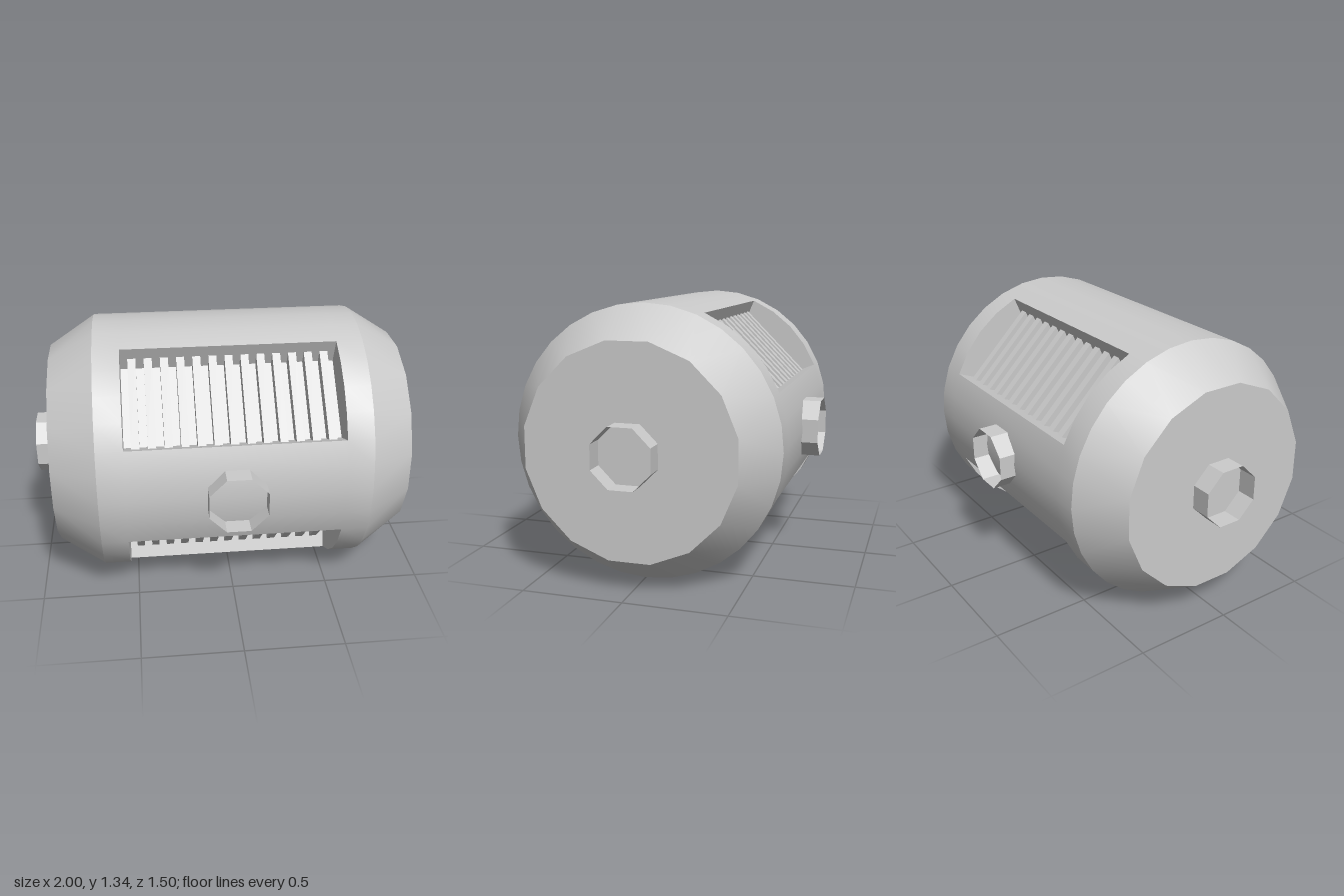
import * as THREE from 'three';
import { toCreasedNormals } from 'three/addons/utils/BufferGeometryUtils.js';

const R = 0.672, CAP_R = 0.525;        // drum and end-cap radii
const HALF = 0.67, END = 0.9;          // half length of the straight part, and with tapers
const SLOT = 0.537, SLOT_A = Math.PI / 8;  // slot half length and half angle
const FLOOR_R = 0.536, FIN_R = 0.606;  // corner radii of slot floor and fin tops
const STEP = Math.PI / 16;

const grey = new THREE.MeshStandardMaterial({ color: 0xcccccc });
const thin = new THREE.MeshStandardMaterial({ color: 0xcccccc, side: THREE.DoubleSide, flatShading: true });

// Point on a circle around the x axis, angle measured from +y toward +z
const P = (x, r, a) => [x, r * Math.cos(a), r * Math.sin(a)];

// Collects triangles and convex polygons, optionally reversed
function faceBuilder() {
  const pos = [];
  return {
    poly(pts, flip = false) {
      const p = flip ? [...pts].reverse() : pts;
      for (let i = 1; i < p.length - 1; i++) pos.push(...p[0], ...p[i], ...p[i + 1]);
    },
    geometry() {
      const g = new THREE.BufferGeometry();
      g.setAttribute('position', new THREE.Float32BufferAttribute(pos, 3));
      g.computeVertexNormals();
      return g;
    },
  };
}

// Drum: 32-sided shell with four slot openings, tapering to 16-sided caps
function drumGeometry() {
  const f = faceBuilder();
  const xs = [-HALF, -SLOT, SLOT, HALF];
  for (let i = 0; i < 32; i++) {
    const a = i * STEP, b = a + STEP;
    const open = (i % 8) >= 2 && (i % 8) < 6;
    for (let j = 0; j < 3; j++) {
      if (j === 1 && open) continue;
      f.poly([P(xs[j], R, a), P(xs[j], R, b), P(xs[j + 1], R, b), P(xs[j + 1], R, a)]);
    }
  }
  for (const s of [-1, 1]) {
    const A = i => P(s * HALF, R, (i % 32) * STEP);
    const B = k => P(s * END, CAP_R, (2 * ((k + 16) % 16) + 1) * STEP);
    const cap = [];
    for (let k = 0; k < 16; k++) {
      f.poly([A(2 * k), A(2 * k + 1), B(k)], s < 0);
      f.poly([A(2 * k + 1), A(2 * k + 2), B(k)], s < 0);
      f.poly([A(2 * k), B(k), B(k - 1)], s < 0);
      cap.push(B(k));
    }
    f.poly(cap, s < 0);
  }
  return toCreasedNormals(f.geometry(), 0.5);
}

// Recess: flat floor, radial side walls and end walls, opening toward +y
function recessGeometry() {
  const f = faceBuilder(), a = SLOT_A;
  f.poly([P(-SLOT, FLOOR_R, -a), P(-SLOT, FLOOR_R, a), P(SLOT, FLOOR_R, a), P(SLOT, FLOOR_R, -a)]);
  for (const s of [-1, 1]) {
    f.poly([P(-SLOT, R, s * a), P(SLOT, R, s * a), P(SLOT, FLOOR_R, s * a), P(-SLOT, FLOOR_R, s * a)], s < 0);
    const wall = [];
    for (let i = -2; i <= 2; i++) wall.push(P(s * SLOT, R, i * STEP));
    wall.push(P(s * SLOT, FLOOR_R, a), P(s * SLOT, FLOOR_R, -a));
    f.poly(wall, s > 0);
  }
  return f.geometry();
}

// Fin: trapezoid bar that fills the slot from side wall to side wall
function finGeometry() {
  const at = (r, s) => new THREE.Vector2(s * r * Math.sin(SLOT_A), r * Math.cos(SLOT_A));
  const shape = new THREE.Shape([at(FLOOR_R, -1), at(FLOOR_R, 1), at(FIN_R, 1), at(FIN_R, -1)]);
  const g = new THREE.ExtrudeGeometry(shape, { depth: 0.04, bevelEnabled: false });
  return g.translate(0, 0, -0.02).rotateY(Math.PI / 2);
}

function add(parent, name, geometry, material = grey) {
  const mesh = new THREE.Mesh(geometry, material);
  mesh.name = name;
  parent.add(mesh);
  return mesh;
}

export function createModel() {
  const model = new THREE.Group();
  model.name = 'ventedDrum';
  model.position.y = R;
  add(model, 'drum', drumGeometry());

  // Four vents, each a recess with 13 fins
  const recess = recessGeometry(), fin = finGeometry();
  for (let q = 0; q < 4; q++) {
    const vent = new THREE.Group();
    vent.name = 'vent';
    vent.rotation.x = Math.PI / 4 + q * Math.PI / 2;
    add(vent, 'ventRecess', recess);
    for (let i = -6; i <= 6; i++) add(vent, 'ventFin', fin).position.x = i * 0.08;
    model.add(vent);
  }

  // Open octagonal sockets on both ends, the front and the back
  const socket = (start, end) =>
    new THREE.CylinderGeometry(0.156, 0.156, end - start, 8, 1, true, Math.PI / 8)
      .rotateX(Math.PI / 2).translate(0, 0, (start + end) / 2);
  const sideSocket = socket(0.65, 0.75), endSocket = socket(END, 1);
  for (let q = 0; q < 4; q++) {
    const isEnd = q % 2 === 1;
    add(model, isEnd ? 'endSocket' : 'sideSocket', isEnd ? endSocket : sideSocket, thin)
      .rotation.y = q * Math.PI / 2;
  }

  const root = new THREE.Group();
  root.add(model);
  return root;
}
